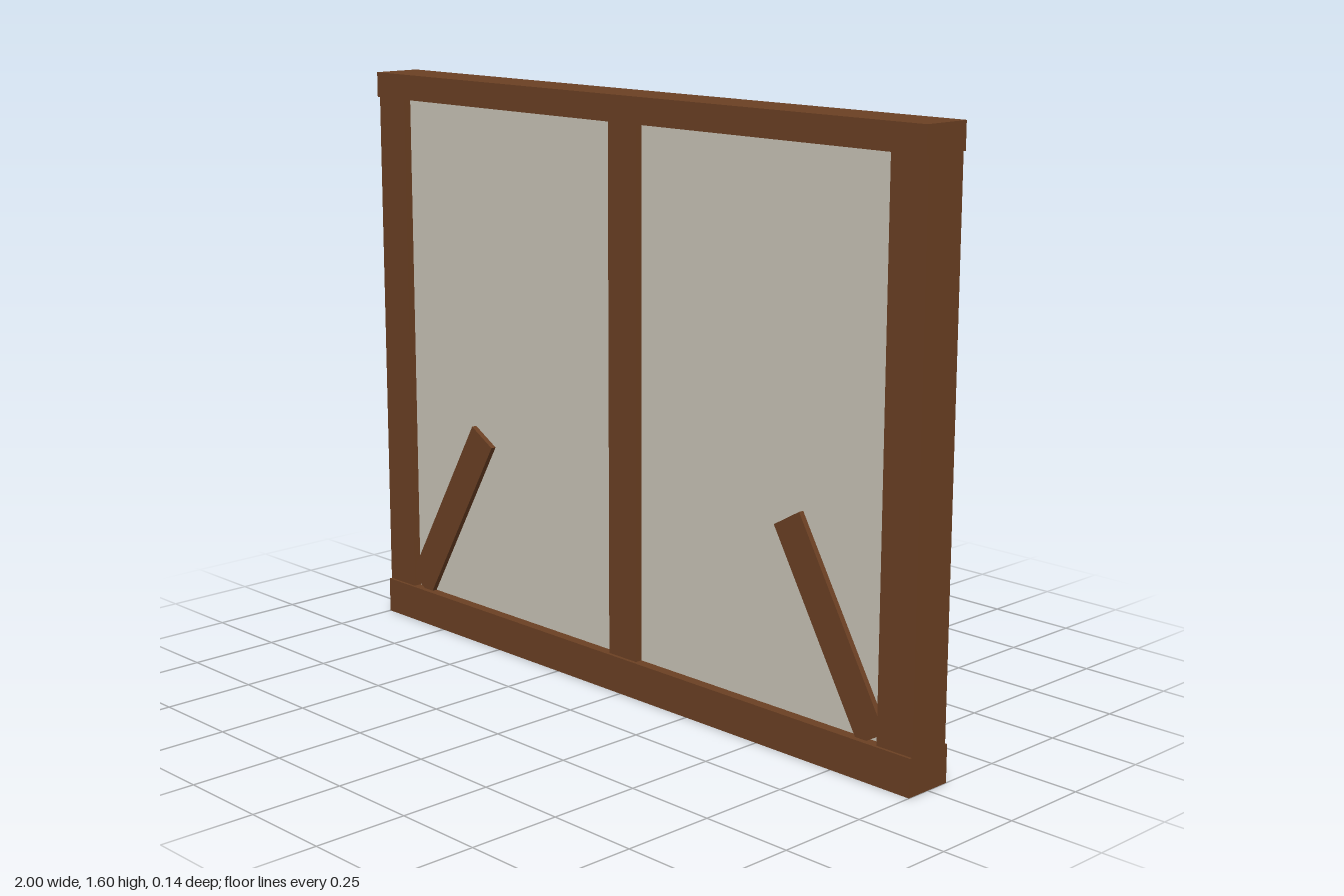
import * as THREE from 'three';

export function createModel() {
  const group = new THREE.Group();
  const wood = new THREE.MeshStandardMaterial({ color: 0x6b4023 });
  wood.name = 'brown timber';
  const plaster = new THREE.MeshStandardMaterial({ color: 0xc9c4b7 });
  plaster.name = 'pale plaster';

  const box = (name, material, w, h, d, x, y, tilt = 0) => {
    const mesh = new THREE.Mesh(new THREE.BoxGeometry(w, h, d), material);
    mesh.name = name;
    mesh.position.set(x, y, 0);
    mesh.rotation.z = tilt;
    group.add(mesh);
  };

  // Plaster infill, recessed on both faces
  box('plasterPanel', plaster, 1.9, 1.5, 0.08, 0, 0.81);

  // Horizontal beams, slightly deeper than the posts
  box('bottomBeam', wood, 2, 0.1, 0.14, 0, 0.05);
  box('topBeam', wood, 2, 0.07, 0.14, 0, 1.565);

  // Upright posts
  box('middlePost', wood, 0.104, 1.43, 0.12, 0, 0.815);
  for (const [side, s] of [['left', 1], ['right', -1]]) {
    box(side + 'Post', wood, 0.11, 1.43, 0.124, s * 0.945, 0.815);
    // Diagonal brace leaning inwards from the foot of the post
    box(side + 'Brace', wood, 0.096, 0.572, 0.11, s * 0.723, 0.356, s * Math.PI / 6);
  }

  return group;
}
